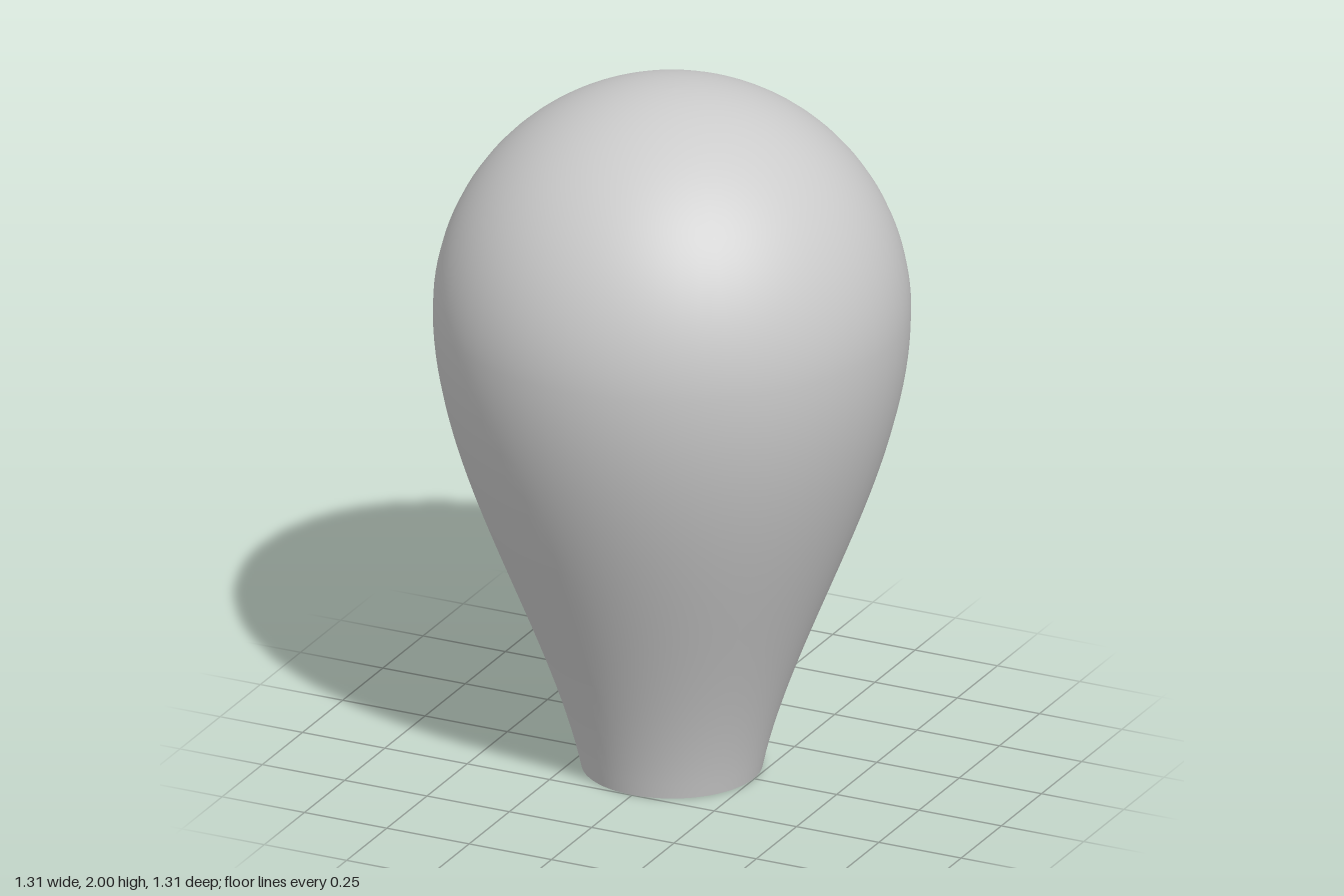
import * as THREE from 'three';

export function createModel() {
  const group = new THREE.Group();
  const radius = 0.653;
  const centreY = 2 - radius;

  // Flared neck sweeping up to the widest point
  const neck = new THREE.CubicBezierCurve(
    new THREE.Vector2(0.248, 0),
    new THREE.Vector2(0.338, 0.435),
    new THREE.Vector2(radius, 0.9),
    new THREE.Vector2(radius, centreY)
  );
  const profile = neck.getPoints(32);

  // Hemispherical crown
  const steps = 32;
  for (let i = 1; i <= steps; i++) {
    const a = (i / steps) * Math.PI / 2;
    profile.push(new THREE.Vector2(i === steps ? 0 : radius * Math.cos(a), centreY + radius * Math.sin(a)));
  }

  // Thin shell, open at the bottom
  const bulb = new THREE.Mesh(
    new THREE.LatheGeometry(profile, 64),
    new THREE.MeshStandardMaterial({ color: 0xcccccc, side: THREE.DoubleSide })
  );
  bulb.name = 'bulbShell';
  group.add(bulb);
  return group;
}
